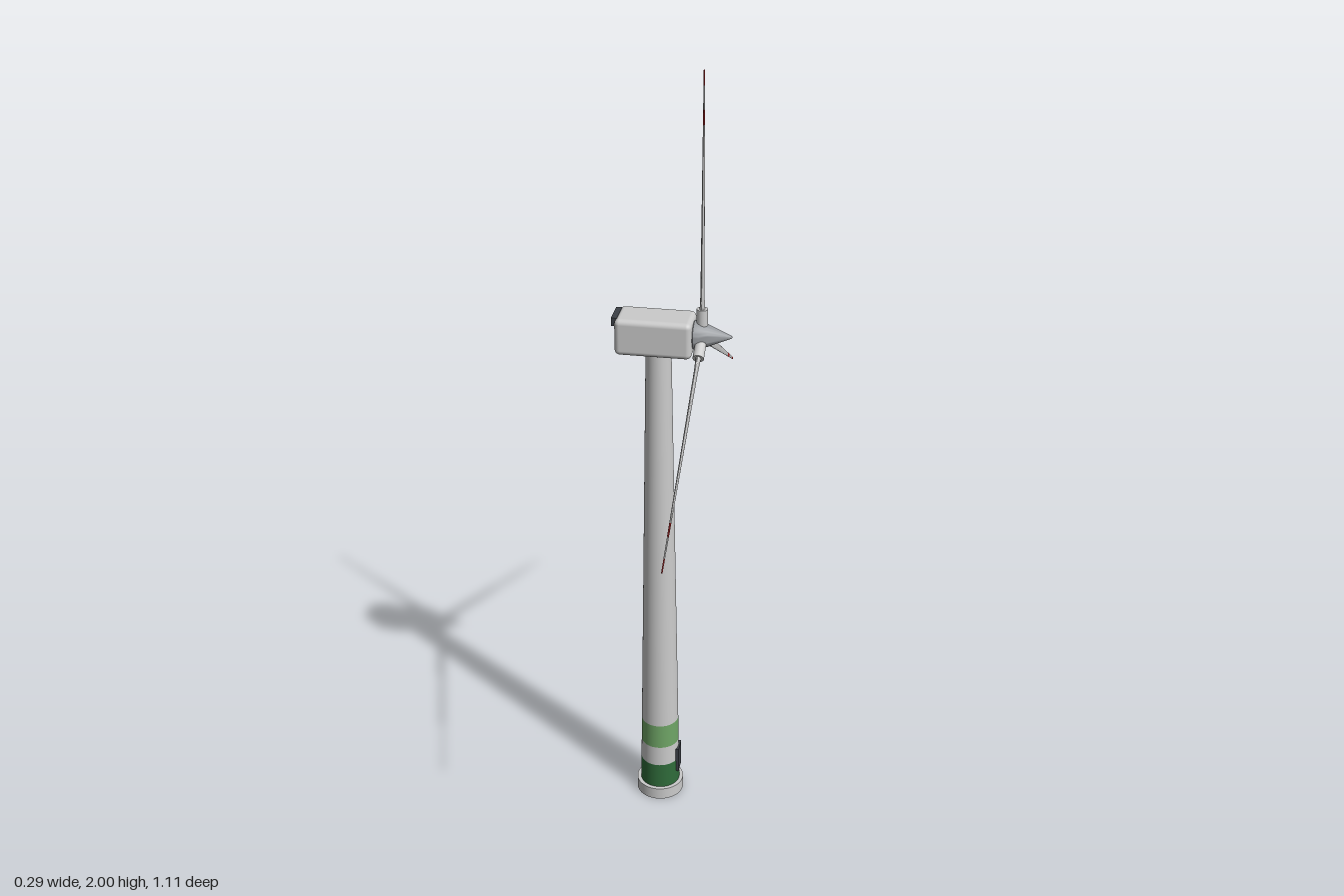
import * as THREE from 'three';
import { RoundedBoxGeometry } from 'three/addons/geometries/RoundedBoxGeometry.js';
import { toCreasedNormals } from 'three/addons/utils/BufferGeometryUtils.js';

const TOWER_X = -0.036, ROTOR_X = 0.069, AXIS_Y = 1.361;
const paint = (color) => new THREE.MeshStandardMaterial({ color });
const grey = paint(0xcccccc), white = paint(0xe4e6e4), dark = paint(0x3c4046);
const green = paint(0x2f6b3a), lightGreen = paint(0x6fa566), red = paint(0xb02525);
const hubGrey = paint(0x9a9da1);

function add(parent, name, geometry, material, x = 0, y = 0, z = 0) {
  const mesh = new THREE.Mesh(geometry, material);
  mesh.name = name;
  mesh.position.set(x, y, z);
  parent.add(mesh);
  return mesh;
}

// Tower radius at a given height
const towerRadius = (y) => THREE.MathUtils.mapLinear(y, 0.03, 1.32, 0.052, 0.031);

// Blade size at distance r from the axis: [chord, thickness]
function bladeSize(r) {
  const t = THREE.MathUtils.clamp((r - 0.11) / 0.529, 0, 1);
  const root = THREE.MathUtils.smoothstep(r, 0.05, 0.11);
  return [
    r < 0.11 ? THREE.MathUtils.lerp(0.018, 0.025, root) : THREE.MathUtils.lerp(0.025, 0.006, t),
    r < 0.11 ? THREE.MathUtils.lerp(0.014, 0.009, root) : THREE.MathUtils.lerp(0.009, 0.003, t),
  ];
}

// Lofted blade piece with elliptical sections, from r0 to r1
function bladeSection(r0, r1, rows) {
  const geo = new THREE.CylinderGeometry(1, 1, r1 - r0, 16, rows);
  const p = geo.attributes.position;
  for (let i = 0; i < p.count; i++) {
    const r = p.getY(i) + (r0 + r1) / 2;
    const [chord, thick] = bladeSize(r);
    p.setXYZ(i, p.getX(i) * thick / 2, r, p.getZ(i) * chord / 2);
  }
  geo.computeVertexNormals();
  return toCreasedNormals(geo, 0.9);
}

export function createModel() {
  const model = new THREE.Group();
  model.name = 'windTurbine';

  // Foundation
  add(model, 'foundation', new THREE.CylinderGeometry(0.062, 0.062, 0.033, 48), grey, TOWER_X, 0.0165);

  // Tapered tower in painted bands
  const bands = [
    ['towerDarkBand', 0.033, 0.105, green],
    ['towerPaleBand', 0.105, 0.163, white],
    ['towerLightBand', 0.163, 0.233, lightGreen],
    ['towerShaft', 0.233, 1.325, grey],
  ];
  for (const [name, y0, y1, mat] of bands) {
    const geo = new THREE.CylinderGeometry(towerRadius(y1), towerRadius(y0), y1 - y0, 48);
    add(model, name, geo, mat, TOWER_X, (y0 + y1) / 2);
  }

  // Door on the rotor side
  add(model, 'door', new THREE.BoxGeometry(0.014, 0.072, 0.042), dark, 0.011, 0.105);

  // Nacelle with rear vent
  add(model, 'nacelle', new RoundedBoxGeometry(0.185, 0.092, 0.096, 4, 0.013), grey, -0.043, 1.359);
  add(model, 'rearVent', new THREE.BoxGeometry(0.014, 0.02, 0.066), dark, -0.137, 1.394);

  // Rotor, turning about the x axis
  const rotor = new THREE.Group();
  rotor.name = 'rotor';
  rotor.position.set(ROTOR_X, AXIS_Y, 0);
  model.add(rotor);

  // Spinner profile: radius, distance along the axis
  const profile = [[0, -0.024], [0.03, -0.024], [0.035, -0.018], [0.034, -0.004], [0.026, 0.016], [0.003, 0.071], [0, 0.073]]
    .map(([r, d]) => new THREE.Vector2(r, d));
  const spinner = add(rotor, 'spinner', toCreasedNormals(new THREE.LatheGeometry(profile, 40), 0.6), hubGrey);
  spinner.rotation.z = -Math.PI / 2;

  const pieces = [
    ['bladeInner', bladeSection(0.05, 0.515, 24), white],
    ['bladeRedBand', bladeSection(0.515, 0.55, 2), red],
    ['bladeOuter', bladeSection(0.55, 0.605, 2), white],
    ['bladeTip', bladeSection(0.605, 0.639, 2), red],
  ];
  const socket = new THREE.CylinderGeometry(0.0135, 0.0135, 0.06, 24);
  for (let i = 0; i < 3; i++) {
    const blade = new THREE.Group();
    blade.name = 'blade' + (i + 1);
    blade.rotation.x = i * Math.PI * 2 / 3;
    add(blade, 'bladeSocket', socket, grey, 0, 0.038);
    for (const [name, geo, mat] of pieces) add(blade, name, geo, mat);
    rotor.add(blade);
  }
  return model;
}
